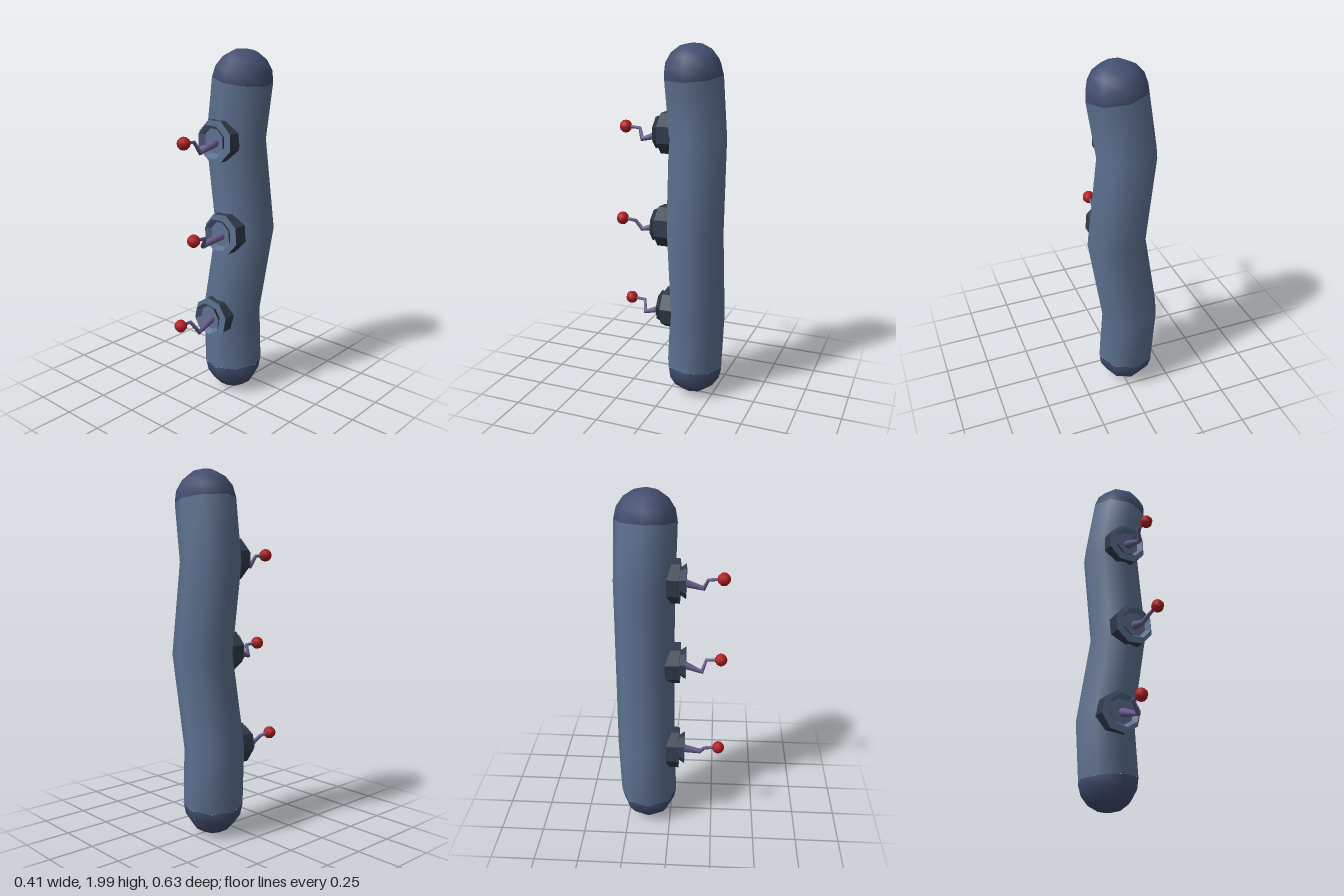
import * as THREE from 'three';

const V = (x, y, z) => new THREE.Vector3(x, y, z);
const paint = (color, side = THREE.FrontSide) => new THREE.MeshStandardMaterial({ color, side });

// Smooth tube through a few points, with mitred rings and a radius at each point.
function loft(points, radii, sides, ref) {
  const pos = [], index = [];
  points.forEach((p, i) => {
    const before = points[Math.max(i - 1, 0)], after = points[Math.min(i + 1, points.length - 1)];
    const t = after.clone().sub(p).normalize().add(p.clone().sub(before).normalize()).normalize();
    const u = ref.clone().cross(t).normalize(), v = t.clone().cross(u);
    for (let j = 0; j < sides; j++) {
      const a = (j / sides) * Math.PI * 2;
      const q = p.clone().addScaledVector(u, radii[i] * Math.cos(a)).addScaledVector(v, radii[i] * Math.sin(a));
      pos.push(q.x, q.y, q.z);
      if (i === 0) continue;
      const k = (j + 1) % sides, lo = (i - 1) * sides, hi = i * sides;
      index.push(lo + j, lo + k, hi + k, lo + j, hi + k, hi + j);
    }
  });
  const g = new THREE.BufferGeometry();
  g.setAttribute('position', new THREE.Float32BufferAttribute(pos, 3));
  g.setIndex(index);
  g.computeVertexNormals();
  return g;
}

export function createModel() {
  const root = new THREE.Group();
  const add = (parent, name, geometry, material) => {
    const mesh = new THREE.Mesh(geometry, material);
    mesh.name = name;
    parent.add(mesh);
    return mesh;
  };
  const skin = paint(0x5d7190), capPaint = paint(0x434f70), dark = paint(0x303b4b);
  const inside = paint(0x5d7190, THREE.BackSide), purple = paint(0x655a88), red = paint(0xb01c20);

  // Wavy eight-sided body
  const R = 0.165;
  const spine = [V(-0.025, 0.17, -0.13), V(-0.045, 0.5, -0.138), V(0.04, 1.01, -0.148),
    V(-0.02, 1.51, -0.138), V(0.03, 1.837, -0.13)];
  add(root, 'body', loft(spine, spine.map(() => R), 8, V(0, 0, 1)), skin);

  // Rounded ends
  [['bottomCap', 0, 1], ['topCap', 4, 3]].forEach(([name, end, next]) => {
    const cap = add(root, name, new THREE.SphereGeometry(R, 8, 4, 0, Math.PI * 2, 0, Math.PI / 2), capPaint);
    cap.position.copy(spine[end]);
    cap.quaternion.setFromUnitVectors(V(0, 1, 0), spine[end].clone().sub(spine[next]).normalize());
  });

  // Three sockets, each with a flared lip and a bent feeler ending in a bulb
  const octagon = (front, back, depth, z, open) =>
    new THREE.CylinderGeometry(front, back, depth, 8, 1, open)
      .rotateY(Math.PI / 8).rotateX(Math.PI / 2).translate(0, 0, z).toNonIndexed();
  const flat = (g) => { g.computeVertexNormals(); return g; };
  const stations = [
    { y: 0.495, x: -0.045, roll: -0.2, xs: [-0.04, -0.018, -0.065, -0.06] },
    { y: 1.015, x: 0.035, roll: 0.08, xs: [0.04, 0.015, 0.052, 0.047] },
    { y: 1.525, x: -0.01, roll: 0, xs: [-0.005, 0.002, -0.02, -0.016] },
  ];
  stations.forEach(({ y, x, roll, xs }, i) => {
    const socket = new THREE.Group();
    socket.name = 'socket' + (i + 1);
    socket.position.set(x, y, 0);
    socket.rotation.z = roll;
    root.add(socket);
    add(socket, 'socketBase', flat(octagon(0.118, 0.118, 0.12, -0.008)), [dark, skin, skin]);
    const lip = flat(octagon(0.093, 0.072, 0.032, 0.068, true));
    add(socket, 'lipOutside', lip, dark);
    add(socket, 'lipInside', lip, inside);

    const path = [V(xs[0], y - 0.005, 0.05), V(xs[1], y - 0.043, 0.175),
      V(xs[2], y + 0.013, 0.198), V(xs[3], y + 0.018, 0.255)];
    add(root, 'feeler' + (i + 1), loft(path, [0.026, 0.014, 0.01, 0.009], 8, V(0, 1, 0)), purple);
    const bulb = add(root, 'bulb' + (i + 1), new THREE.SphereGeometry(0.036, 8, 6), red);
    bulb.position.set(xs[3], y + 0.018, 0.28);
  });
  return root;
}
